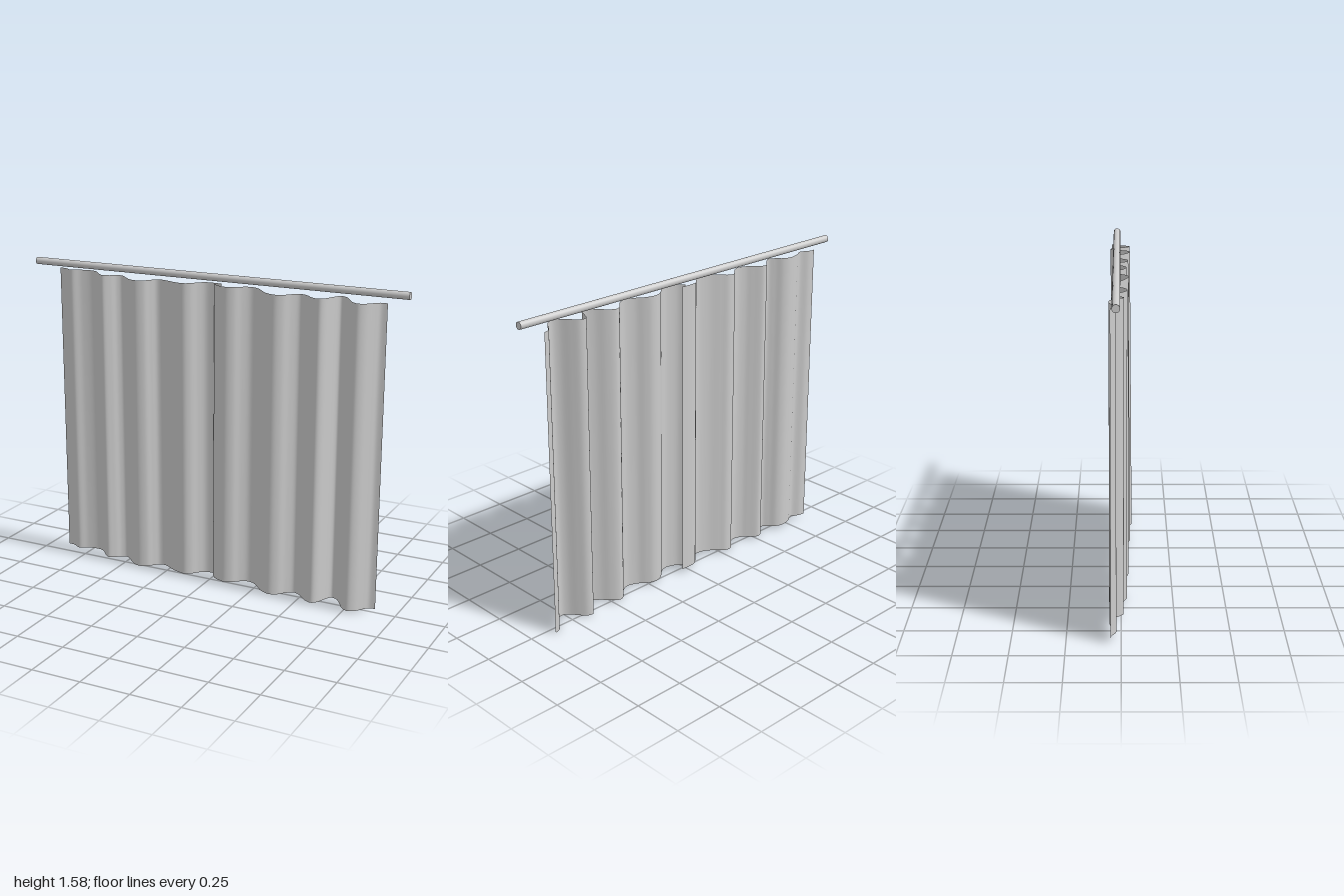
import * as THREE from 'three';

const material = new THREE.MeshStandardMaterial({ color: 0xcccccc, side: THREE.DoubleSide });

// Gentle rise and fall of the hem across the width, as [x, y] points
const hemLine = new THREE.SplineCurve([
  [-0.88, 0.021], [-0.65, 0.019], [-0.5, 0.011], [-0.3, 0.011], [-0.15, 0.02], [0.18, 0.02],
  [0.3, 0.011], [0.45, 0.008], [0.62, 0.014], [0.75, 0.01], [0.885, 0.002],
].map(([x, y]) => new THREE.Vector2(x, y)));
const hemPoints = hemLine.getPoints(200);
const hemAt = (x) => (hemPoints.find((p) => p.x >= x) ?? hemPoints[200]).y;

// Cloth hanging from a pleated [x, z] profile; lean moves the lower hem forward
function makePanel(name, profile, lean) {
  const columns = 160, rows = 20, drop = 1.515;
  const folds = new THREE.SplineCurve(profile.map(([x, z]) => new THREE.Vector2(x, z))).getPoints(columns);
  const geometry = new THREE.PlaneGeometry(1, 1, columns, rows);
  const position = geometry.attributes.position;
  for (let row = 0; row <= rows; row++) {
    const t = row / rows;
    folds.forEach((p, column) => {
      position.setXYZ(row * (columns + 1) + column, p.x, hemAt(p.x) + drop * (1 - t), p.y + lean * t);
    });
  }
  geometry.computeVertexNormals();
  const mesh = new THREE.Mesh(geometry, material);
  mesh.name = name;
  return mesh;
}

export function createModel() {
  const group = new THREE.Group();
  group.name = 'curtain';

  // Rod
  const rod = new THREE.Mesh(new THREE.CylinderGeometry(0.018, 0.018, 2, 24), material);
  rod.name = 'rod';
  rod.rotation.z = Math.PI / 2;
  rod.position.set(0, 1.567, -0.022);
  group.add(rod);

  // Two pleated panels that overlap slightly at the middle
  group.add(makePanel('rightPanel', [
    [-0.88, -0.048], [-0.845, -0.044], [-0.8, -0.022], [-0.755, -0.044], [-0.7, -0.055], [-0.66, -0.042],
    [-0.63, -0.01], [-0.598, 0.012], [-0.565, -0.01], [-0.54, -0.036], [-0.51, -0.043],
    [-0.47, -0.01], [-0.44, 0.015], [-0.4, 0.028], [-0.36, 0.015], [-0.335, -0.012], [-0.31, -0.034],
    [-0.275, -0.034], [-0.24, -0.012], [-0.19, 0.02], [-0.135, 0.036], [-0.1, 0.022],
    [-0.07, -0.012], [-0.04, -0.034], [0, -0.038], [0.045, -0.036],
  ], 0));
  group.add(makePanel('leftPanel', [
    [0.013, -0.022], [0.035, 0.003], [0.065, 0.018], [0.1, 0.025], [0.135, 0.012], [0.165, -0.016],
    [0.2, -0.036], [0.235, -0.034], [0.265, -0.014], [0.3, 0.018], [0.35, 0.036], [0.39, 0.02],
    [0.42, -0.014], [0.45, -0.037], [0.475, -0.034], [0.505, -0.012], [0.54, 0.025], [0.58, 0.046],
    [0.607, 0.03], [0.63, -0.02], [0.645, -0.048], [0.66, -0.056], [0.685, -0.046],
    [0.71, -0.015], [0.74, 0.028], [0.772, 0.045], [0.805, 0.026], [0.835, -0.018], [0.855, -0.042], [0.884, -0.05],
  ], 0.012));

  return group;
}
